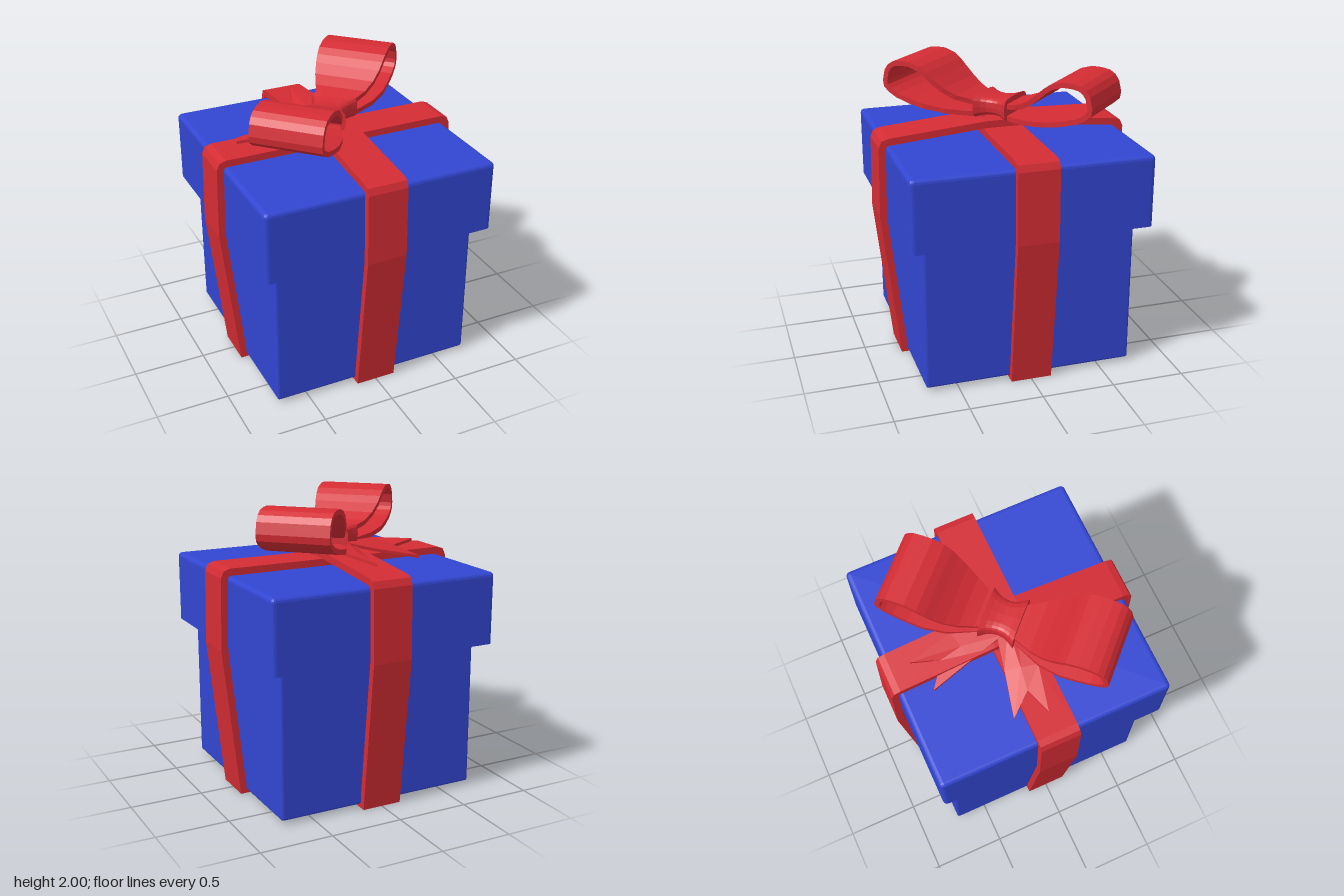
import * as THREE from 'three';
import { RoundedBoxGeometry } from 'three/addons/geometries/RoundedBoxGeometry.js';

const blue = new THREE.MeshStandardMaterial({ color: 0x3246d2, flatShading: true });
const red = new THREE.MeshStandardMaterial({ color: 0xd42c34, flatShading: true });

function add(parent, name, geometry, material) {
  const mesh = new THREE.Mesh(geometry, material);
  mesh.name = name;
  parent.add(mesh);
  return mesh;
}

// Thick band along a counter-clockwise outer profile in the xy plane, width along z
function band(points, halfWidth, thickness, closed) {
  const n = points.length;
  const pts = points.map(([x, y]) => new THREE.Vector2(x, y));
  const at = (i) => pts[closed ? (i + n) % n : Math.min(Math.max(i, 0), n - 1)];
  const normal = (a, b) => new THREE.Vector2(b.y - a.y, a.x - b.x).normalize();
  const sections = pts.map((p, i) => {
    const n1 = normal(at(i - 1), p);
    const n2 = normal(p, at(i + 1));
    const m = n1.clone().add(n2).normalize();
    const miter = thickness / Math.max(0.5, m.dot(n1.lengthSq() ? n1 : n2));
    const q = p.clone().addScaledVector(m, -miter);
    const w = halfWidth(p.x);
    return [[p.x, p.y, -w], [p.x, p.y, w], [q.x, q.y, w], [q.x, q.y, -w]];
  });
  const out = [];
  for (let i = 0; i < (closed ? n : n - 1); i++) {
    const a = sections[i], b = sections[(i + 1) % n];
    for (let k = 0; k < 4; k++) {
      const l = (k + 1) % 4;
      out.push(...a[k], ...b[k], ...b[l], ...a[k], ...b[l], ...a[l]);
    }
  }
  const g = new THREE.BufferGeometry();
  g.setAttribute('position', new THREE.Float32BufferAttribute(out, 3));
  g.computeVertexNormals();
  return g;
}

// Closed ribbon round the box, mirrored from its right half
function ribbonLoop(topPoints) {
  const half = [[0.76, 0], [0.875, 1.04], [0.865, 1.53], [0.845, 1.575], [0.8, 1.59], ...topPoints];
  const mirrored = half.map(([x, y]) => [-x, y]).reverse();
  return band([...half, ...mirrored], () => 0.14, 0.048, true);
}

// Half width of a bow loop, narrowing towards the knot
function bowWidth(u) {
  const t = THREE.MathUtils.clamp((u - 0.08) / 0.42, 0, 1);
  return 0.1 + 0.143 * Math.sin(t * Math.PI / 2);
}

// Hourglass band with rounded-square sections, axis along x
function knotGeometry() {
  const g = new THREE.CylinderGeometry(1, 1, 0.24, 20, 6).rotateZ(Math.PI / 2);
  const p = g.attributes.position;
  const square = (v) => (Math.abs(v) < 1e-6 ? 0 : Math.sign(v) * Math.sqrt(Math.abs(v)));
  for (let i = 0; i < p.count; i++) {
    const flare = (p.getX(i) / 0.12) ** 2;
    p.setY(i, 1.722 + square(p.getY(i)) * (0.06 + 0.022 * flare));
    p.setZ(i, square(p.getZ(i)) * (0.115 + 0.051 * flare));
  }
  g.computeVertexNormals();
  return g;
}

// Notched ribbon end: rows run from the knot to the tips
function tailGeometry(mirror) {
  const rows = [
    [[-0.09, 1.67, -0.06], [-0.01, 1.68, -0.06], [0.06, 1.68, -0.06]],
    [[-0.14, 1.61, -0.3], [-0.04, 1.645, -0.33], [0.07, 1.655, -0.36]],
    [[-0.21, 1.55, -0.6], [-0.06, 1.61, -0.48], [0, 1.63, -0.67]],
  ];
  const g = new THREE.BoxGeometry(2, 1, 2, 2, 1, 2);
  const p = g.attributes.position;
  for (let i = 0; i < p.count; i++) {
    const col = Math.round(p.getX(i)) * (mirror ? -1 : 1) + 1;
    const [x, y, z] = rows[1 - Math.round(p.getZ(i))][col];
    const h = y + p.getY(i) * 0.02;
    if (mirror) p.setXYZ(i, z, h, x);
    else p.setXYZ(i, x, h, z);
  }
  g.computeVertexNormals();
  return g;
}

export function createModel() {
  const model = new THREE.Group();
  model.name = 'giftBox';

  // Box
  add(model, 'boxBody', new RoundedBoxGeometry(1.44, 1.035, 1.44, 1, 0.015), blue).position.y = 0.5425;

  // Lid, rounded above and square at its lower rim
  const lid = new RoundedBoxGeometry(1.63, 0.495, 1.63, 2, 0.03);
  const lp = lid.attributes.position;
  for (let i = 0; i < lp.count; i++) if (lp.getY(i) < -0.2) lp.setY(i, -0.2475);
  lid.computeVertexNormals();
  add(model, 'lid', lid, blue).position.y = 1.2875;

  // Crossing ribbons
  add(model, 'sideRibbon', ribbonLoop([]), red);
  add(model, 'frontRibbon', ribbonLoop([[0.13, 1.65]]), red).rotation.y = Math.PI / 2;

  // Bow set on the diagonal
  const bow = new THREE.Group();
  bow.name = 'bow';
  bow.position.z = -0.01;
  bow.rotation.y = Math.PI / 4;
  model.add(bow);
  const loop = band([
    [0.06, 1.65], [0.18, 1.652], [0.32, 1.665], [0.47, 1.687], [0.58, 1.708], [0.68, 1.738],
    [0.74, 1.77], [0.778, 1.805], [0.785, 1.85], [0.768, 1.925], [0.74, 1.965], [0.7, 1.99],
    [0.64, 2], [0.57, 2], [0.49, 1.975], [0.44, 1.94], [0.39, 1.895], [0.32, 1.84],
    [0.24, 1.795], [0.15, 1.768], [0.06, 1.76],
  ], bowWidth, 0.034, false);
  for (const [name, turn] of [['leftBowLoop', 0], ['rightBowLoop', Math.PI]]) {
    add(bow, name, loop, red).rotation.y = turn;
  }
  add(bow, 'knot', knotGeometry(), red);

  // Ribbon tails
  add(model, 'backTail', tailGeometry(false), red);
  add(model, 'sideTail', tailGeometry(true), red);
  return model;
}
